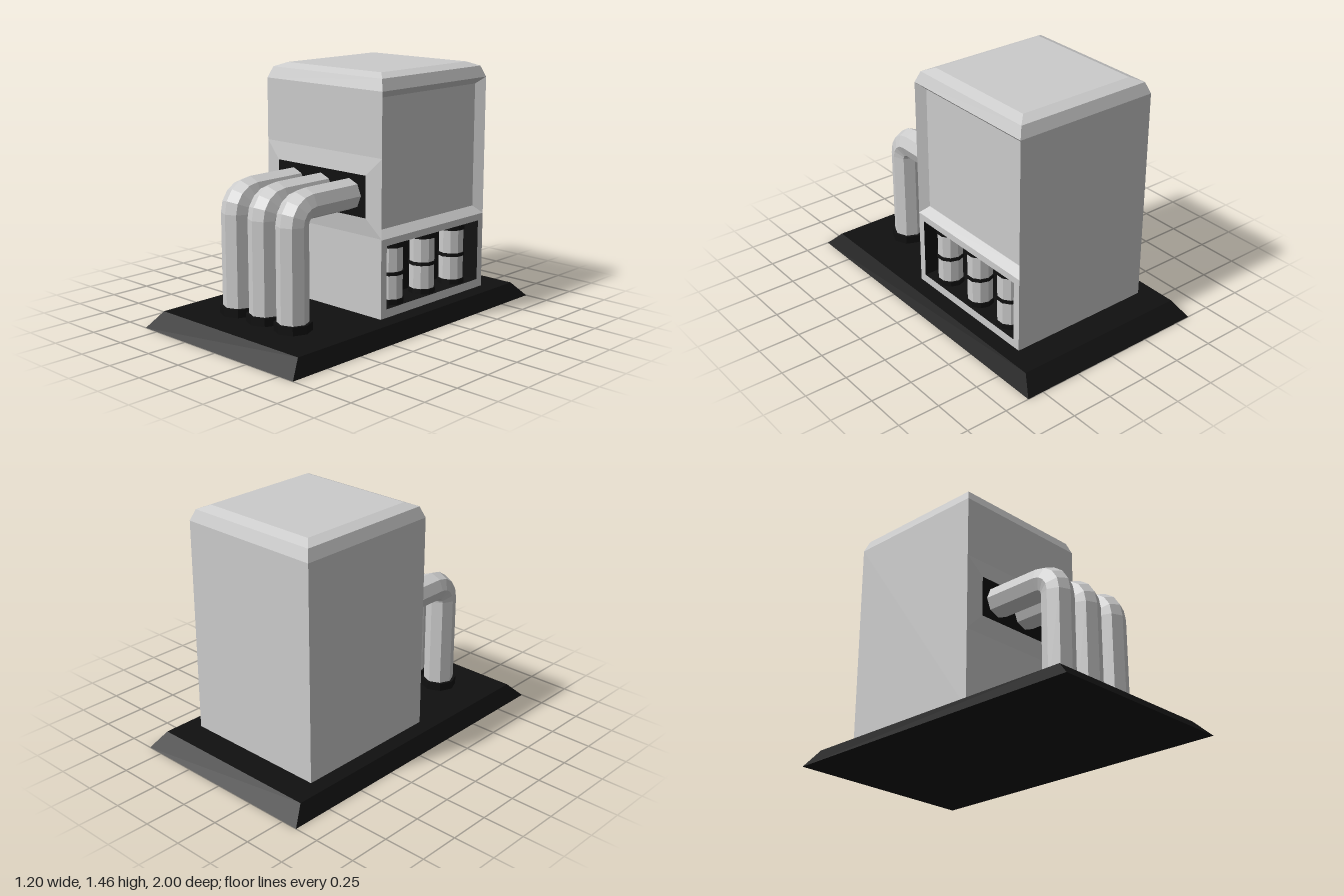
import * as THREE from 'three';

const grey = new THREE.MeshStandardMaterial({ color: 0xcccccc, flatShading: true });
const black = new THREE.MeshStandardMaterial({ color: 0x101010, flatShading: true });

// Flat-faced skin through equal-sized rings, counter-clockwise seen from the end side
function loft(name, material, rings, { start = false, end = false } = {}) {
  const pos = [];
  const tri = (a, b, c) => pos.push(...a, ...b, ...c);
  const n = rings[0].length;
  for (let r = 0; r < rings.length - 1; r++) {
    const A = rings[r], B = rings[r + 1];
    for (let i = 0; i < n; i++) {
      const j = (i + 1) % n;
      tri(A[i], A[j], B[j]);
      tri(A[i], B[j], B[i]);
    }
  }
  const first = rings[0], last = rings[rings.length - 1];
  for (let i = 1; i < n - 1; i++) {
    if (start) tri(first[0], first[i + 1], first[i]);
    if (end) tri(last[0], last[i], last[i + 1]);
  }
  const geo = new THREE.BufferGeometry();
  geo.setAttribute('position', new THREE.Float32BufferAttribute(pos, 3));
  geo.computeVertexNormals();
  const mesh = new THREE.Mesh(geo, material);
  mesh.name = name;
  return mesh;
}

// Rectangles facing +x, +y and +z
const rectX = (x, y0, y1, z0, z1) => [[x, y0, z1], [x, y0, z0], [x, y1, z0], [x, y1, z1]];
const rectY = (y, x0, x1, z0, z1) => [[x0, y, z1], [x1, y, z1], [x1, y, z0], [x0, y, z0]];
const rectZ = (z, x0, x1, y0, y1) => [[x0, y0, z], [x1, y0, z], [x1, y1, z], [x0, y1, z]];

function cylinder(name, material, r, y0, y1, x, z, sides) {
  const mesh = new THREE.Mesh(new THREE.CylinderGeometry(r, r, y1 - y0, sides), material);
  mesh.position.set(x, (y0 + y1) / 2, z);
  mesh.name = name;
  return mesh;
}

// Octagonal pipe rising from the base and bending back into the housing
function bentPipe(x) {
  const r = 0.09, bend = 0.1, cy = 0.675, cz = 0.53, steps = 4;
  const ring = (y, z, a) => Array.from({ length: 8 }, (_, i) => {
    const t = i * Math.PI / 4, s = -r * Math.sin(t);
    return [x + r * Math.cos(t), y + s * Math.sin(a), z + s * Math.cos(a)];
  });
  const rings = [ring(0.09, cz + bend, 0)];
  for (let i = 0; i <= steps; i++) {
    const a = i / steps * Math.PI / 2;
    rings.push(ring(cy + bend * Math.sin(a), cz + bend * Math.cos(a), a));
  }
  rings.push(ring(cy + bend, 0.17, Math.PI / 2));
  return loft('pipe', grey, rings);
}

export function createModel() {
  const model = new THREE.Group();
  model.name = 'machine';
  const zB = -0.735, zF = 0.175, w = 0.45;

  // Sloped base plate
  model.add(loft('base', black, [
    rectY(0, -0.6, 0.6, -1, 1),
    rectY(0.09, -0.545, 0.545, -0.91, 0.91),
  ], { start: true, end: true }));

  // Housing: walls, then roof with two chamfers
  model.add(loft('walls', grey, [
    rectX(-w, 0.09, 1.365, zB, zF),
    rectX(w, 0.09, 1.365, zB, zF),
  ], { start: true }));
  model.add(loft('roof', grey, [[0, 1.365], [0.025, 1.43], [0.085, 1.455]].map(
    ([d, y]) => rectY(y, -w + d, w - d, zB + d, zF - d)), { end: true }));

  // Upper side panel, sunk behind bevelled edges
  model.add(loft('sidePanel', grey, [
    rectX(w, 0.545, 1.365, zB, zF),
    rectX(w - 0.045, 0.59, 1.325, zB + 0.045, zF - 0.045),
  ], { end: true }));

  // Lower side frame around a dark bay
  const bay = x => rectX(x, 0.14, 0.505, -0.69, 0.13);
  model.add(loft('bayFrame', grey, [rectX(w, 0.09, 0.545, zB, zF), bay(w)]));
  model.add(loft('bay', black, [bay(w), bay(0.27)], { end: true }));

  // Canisters standing in the bay, with dark bands
  for (const z of [0, -0.28, -0.55]) {
    const canister = new THREE.Group();
    canister.name = 'canister';
    canister.add(cylinder('canisterBody', grey, 0.075, 0.14, 0.505, 0.36, z, 10));
    for (const [y0, y1] of [[0.14, 0.17], [0.31, 0.33], [0.47, 0.505]])
      canister.add(cylinder('canisterBand', black, 0.082, y0, y1, 0.36, z, 10));
    model.add(canister);
  }

  // Raised front surround and the dark plate the pipes enter
  const plate = rectZ(0.19, -0.345, 0.345, 0.655, 0.895);
  model.add(loft('pipeSurround', grey, [rectZ(zF, -w, w, 0.55, 1), plate]));
  model.add(loft('pipePlate', black, [plate], { end: true }));

  // Pipes with foot collars
  for (const x of [-0.22, 0, 0.22]) {
    model.add(bentPipe(x));
    model.add(cylinder('pipeCollar', black, 0.107, 0.085, 0.138, x, 0.63, 8));
  }
  return model;
}
